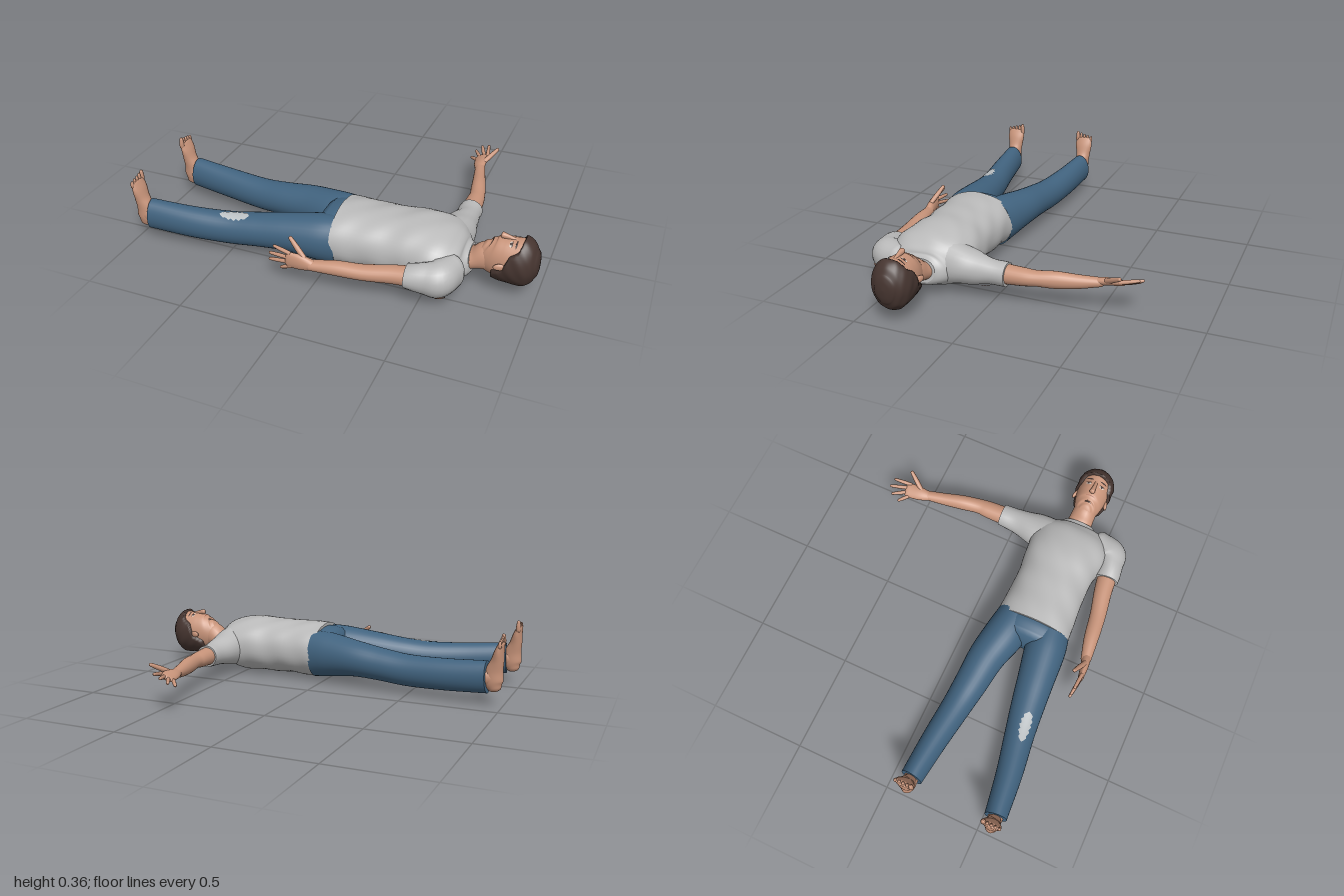
import * as THREE from 'three';

const V = (x, y, z) => new THREE.Vector3(x, y, z);
const UP = V(0, 1, 0), FORE = V(1, 0, 0);
const mat = (name, color) => Object.assign(new THREE.MeshStandardMaterial({ color }), { name });

// Surface through sections [x, y, z, half width, half height]; returns a point for t, angle, offset
function surface(sections, up = UP, e = 1) {
  const path = new THREE.CatmullRomCurve3(sections.map(s => V(s[0], s[1], s[2])), false, 'catmullrom', 0.5);
  const radii = new THREE.CatmullRomCurve3(sections.map(s => V(s[3], s[4], 0)), false, 'catmullrom', 0.5);
  const pw = v => Math.sign(v) * Math.abs(v) ** e;
  return (t, angle, off = 0, scale = 1, push = 0) => {
    const c = path.getPoint(t), r = radii.getPoint(t), dir = path.getTangent(t);
    const u = up.clone().cross(dir).normalize(), v = dir.clone().cross(u);
    return c.addScaledVector(u, (r.x + off) * scale * pw(Math.cos(angle)))
      .addScaledVector(v, (r.y + off) * scale * pw(Math.sin(angle)))
      .addScaledVector(dir, push);
  };
}

function toGeometry(pos, index) {
  const g = new THREE.BufferGeometry();
  g.setAttribute('position', new THREE.Float32BufferAttribute(pos, 3));
  g.setIndex(index);
  g.computeVertexNormals();
  return g;
}

// Closed skin over the sections, with flat (0) or domed ends
function loft(sections, { up, e, domes = [0, 0], seg = 24, steps = 6, offset = () => 0 } = {}) {
  const f = surface(sections, up, e), rows = [], pos = [], index = [];
  const n = (sections.length - 1) * steps;
  const cap = (t, dome, sign) => (dome ? [30, 60, 90] : [0, 90]).map(d => {
    const a = d * Math.PI / 180;
    return [t, Math.cos(a), sign * dome * Math.sin(a)];
  });
  rows.push(...cap(0, domes[0], -1).reverse());
  for (let i = 0; i <= n; i++) rows.push([i / n, 1, 0]);
  rows.push(...cap(1, domes[1], 1));
  rows.forEach(([t, scale, push], i) => {
    for (let j = 0; j < seg; j++) {
      const a = j / seg * Math.PI * 2;
      pos.push(...f(t, a, offset(f(t, a)), scale, push).toArray());
      if (i === rows.length - 1) continue;
      const p = i * seg + j, q = i * seg + (j + 1) % seg;
      index.push(p, q, p + seg, q, q + seg, p + seg);
    }
  });
  return toGeometry(pos, index);
}

// Thin oval detail lying on a lofted surface
function patch(f, t, dt, angle, da, { off = 0.003, ragged = 0 } = {}) {
  const pos = [], index = [], n = 16, m = 8;
  for (let i = 0; i <= n; i++) {
    const s = i / n * 2 - 1;
    const w = da * Math.sqrt(1 - s * s) * (1 - ragged * (0.5 + 0.5 * Math.sin(i * 2.1)));
    for (let j = 0; j <= m; j++) {
      pos.push(...f(t + s * dt, angle + (j / m * 2 - 1) * w, off).toArray());
      if (i === n || j === m) continue;
      const p = i * (m + 1) + j, q = p + m + 1;
      index.push(p, p + 1, q, p + 1, q + 1, q);
    }
  }
  return toGeometry(pos, index);
}

export function createModel() {
  const model = new THREE.Group();
  model.name = 'lyingMan';
  const skin = mat('skin', 0xc8947a), shirt = mat('shirtGrey', 0xbababa), denim = mat('denim', 0x41637f);
  const hairMat = mat('darkBrownHair', 0x463530), lining = mat('tornDenim', 0xbcc1c4);
  const lip = mat('lip', 0xa96f5c), white = mat('eyeWhite', 0xd9d2ca), rip = mat('shirtStain', 0xb27d64);
  rip.side = lining.side = THREE.DoubleSide;
  const add = (name, geometry, material) => {
    const mesh = new THREE.Mesh(geometry, material);
    mesh.name = name;
    model.add(mesh);
    return mesh;
  };
  const digit = (name, a, b, r, up = UP) => {
    const mid = a.map((v, i) => (v + b[i]) / 2);
    add(name, loft([[...a, r, r], [...mid, r, r], [...b, r * 0.75, r * 0.75]],
      { up, domes: [r, r * 0.8], seg: 10, steps: 3 }), skin);
  };

  // Shirt body and sleeves, with soft folds
  const folds = p => 0.003 * Math.sin(p.x * 38 + p.z * 24) * Math.sin(p.z * 17 + p.y * 20);
  add('shirtBody', loft([
    [0.04, 0.163, 0.335, 0.2, 0.15], [0.15, 0.168, 0.335, 0.193, 0.146], [0.3, 0.168, 0.333, 0.187, 0.146],
    [0.42, 0.169, 0.33, 0.197, 0.15], [0.52, 0.168, 0.334, 0.21, 0.143], [0.6, 0.158, 0.335, 0.19, 0.118],
    [0.65, 0.153, 0.333, 0.135, 0.085], [0.685, 0.158, 0.332, 0.08, 0.06],
  ], { e: 0.92, seg: 48, offset: folds }), shirt);
  const leftSleeve = [[0.55, 0.165, 0.27, 0.1, 0.125], [0.56, 0.16, 0.13, 0.09, 0.09],
    [0.565, 0.157, 0.02, 0.064, 0.065], [0.565, 0.157, -0.07, 0.06, 0.057]];
  const rightSleeve = [[0.63, 0.155, 0.46, 0.065, 0.085], [0.59, 0.157, 0.55, 0.08, 0.09],
    [0.53, 0.16, 0.577, 0.068, 0.074], [0.445, 0.16, 0.583, 0.063, 0.056]];
  add('leftSleeve', loft(leftSleeve, { offset: folds }), shirt);
  add('rightSleeve', loft(rightSleeve, { domes: [0.03, 0], offset: folds }), shirt);
  add('leftSleeveStain', patch(surface(leftSleeve), 0.66, 0.08, Math.PI + 1, 0.2, { off: 0.006, ragged: 0.5 }), rip);
  add('rightSleeveStain', patch(surface(rightSleeve), 0.4, 0.06, -0.65, 0.15, { off: 0.006, ragged: 0.5 }), rip);

  // Arms
  add('leftArm', loft([
    [0.565, 0.157, -0.03, 0.05, 0.05], [0.562, 0.158, -0.15, 0.046, 0.043], [0.558, 0.16, -0.21, 0.04, 0.038],
    [0.54, 0.16, -0.3, 0.038, 0.042], [0.517, 0.16, -0.4, 0.032, 0.034], [0.494, 0.166, -0.5, 0.026, 0.022],
  ], { domes: [0, 0.02] }), skin);
  add('rightArm', loft([
    [0.48, 0.16, 0.583, 0.052, 0.047], [0.38, 0.155, 0.595, 0.047, 0.043], [0.25, 0.147, 0.62, 0.042, 0.037],
    [0.12, 0.147, 0.636, 0.038, 0.035], [0.0, 0.143, 0.655, 0.027, 0.025],
  ], { domes: [0, 0.02] }), skin);

  // Hands with spread fingers
  add('leftPalm', loft([[0.494, 0.167, -0.48, 0.025, 0.02], [0.486, 0.172, -0.53, 0.036, 0.019],
    [0.478, 0.173, -0.6, 0.04, 0.014]], { up: V(-0.45, 1, 0), domes: [0.01, 0.015] }), skin);
  [[[0.508, 0.188, -0.595], [0.494, 0.205, -0.678]], [[0.487, 0.178, -0.605], [0.455, 0.19, -0.688]],
    [[0.466, 0.168, -0.6], [0.426, 0.166, -0.668]], [[0.449, 0.159, -0.585], [0.412, 0.145, -0.625]],
    [[0.505, 0.183, -0.53], [0.558, 0.23, -0.608]],
  ].forEach(([a, b], i) => digit(i < 4 ? 'leftFinger' : 'leftThumb', a, b, i < 4 ? 0.01 : 0.013));
  add('rightPalm', loft([[0.02, 0.143, 0.653, 0.024, 0.024], [-0.04, 0.152, 0.662, 0.021, 0.04],
    [-0.105, 0.158, 0.668, 0.014, 0.042]], { domes: [0.01, 0.015] }), skin);
  [[[-0.1, 0.193, 0.667], [-0.178, 0.209, 0.66]], [[-0.108, 0.168, 0.668], [-0.203, 0.164, 0.657]],
    [[-0.108, 0.145, 0.669], [-0.207, 0.127, 0.655]], [[-0.09, 0.125, 0.668], [-0.145, 0.1, 0.662]],
    [[-0.03, 0.18, 0.658], [-0.11, 0.248, 0.625]],
  ].forEach(([a, b], i) => digit(i < 4 ? 'rightFinger' : 'rightThumb', a, b, i < 4 ? 0.01 : 0.013));

  // Jeans: [x, y, left z, right z, half width, half height]
  add('hips', loft([[0.07, 0.163, 0.335, 0.185, 0.13], [0.02, 0.163, 0.335, 0.195, 0.132],
    [-0.03, 0.163, 0.335, 0.19, 0.122]], { e: 0.92, domes: [0, 0.045], seg: 36 }), denim);
  const legRows = [[0.05, 0.16, 0.235, 0.433, 0.1, 0.127], [-0.05, 0.163, 0.222, 0.445, 0.106, 0.118],
    [-0.2, 0.163, 0.188, 0.463, 0.095, 0.096], [-0.35, 0.15, 0.172, 0.481, 0.085, 0.086],
    [-0.5, 0.138, 0.154, 0.502, 0.075, 0.083], [-0.7, 0.143, 0.129, 0.535, 0.066, 0.082],
    [-0.92, 0.157, 0.108, 0.56, 0.056, 0.082]];
  ['left', 'right'].forEach((side, k) => {
    const rows = legRows.map(r => [r[0], r[1], r[2 + k], r[4], r[5]]);
    add(side + 'TrouserLeg', loft(rows, { seg: 32 }), denim);
    if (k) add('kneeTear', patch(surface(rows), 0.627, 0.085, 1.35, 0.42, { ragged: 0.35 }), lining);

    // Bare feet, toes pointing up and big toes innermost
    const z = k ? 0.56 : 0.108, inner = k ? -1 : 1;
    add(side + 'Ankle', loft([[-0.88, 0.16, z, 0.04, 0.045], [-0.95, 0.155, z, 0.036, 0.045]], { domes: [0, 0.02] }), skin);
    add(side + 'Foot', loft([
      [-0.957, 0.105, z, 0.028, 0.035], [-0.95, 0.14, z, 0.036, 0.05], [-0.953, 0.19, z, 0.037, 0.044],
      [-0.965, 0.24, z, 0.042, 0.033], [-0.973, 0.29, z, 0.05, 0.024], [-0.982, 0.33, z + inner * 0.002, 0.048, 0.014],
    ], { up: FORE, domes: [0.02, 0.01] }), skin);
    for (let i = 0; i < 5; i++) {
      const tz = z + inner * (0.04 - i * 0.0205), r = i ? 0.009 : 0.0125;
      digit(side + 'Toe', [-0.982, 0.32, tz], [-0.982, 0.362 - i * 0.005, tz], r, FORE);
    }
  });

  // Neck and head
  add('neck', loft([[0.64, 0.145, 0.332, 0.075, 0.05], [0.7, 0.165, 0.332, 0.066, 0.052],
    [0.75, 0.185, 0.333, 0.063, 0.07], [0.8, 0.19, 0.333, 0.06, 0.07]]), skin);
  const headRows = [[0.728, 0.232, 0.333, 0.034, 0.05], [0.745, 0.22, 0.333, 0.052, 0.078],
    [0.78, 0.206, 0.333, 0.07, 0.097], [0.83, 0.2, 0.333, 0.081, 0.107], [0.88, 0.2, 0.333, 0.085, 0.11],
    [0.93, 0.2, 0.333, 0.083, 0.112], [0.965, 0.2, 0.333, 0.067, 0.09], [0.985, 0.2, 0.333, 0.042, 0.058]];
  const face = surface(headRows);
  add('head', loft(headRows, { domes: [0.008, 0.006], seg: 40 }), skin);

  // Hair rises above the scalp behind the hairline and sinks below it in front
  const line = [[0.77, 0.04], [0.79, 0.16], [0.845, 0.19], [0.87, 0.255], [0.91, 0.28], [0.94, 0.37], [1.1, 0.6]];
  const limit = x => {
    const i = line.findIndex(p => p[0] > x);
    if (i < 1) return 0;
    const [x0, y0] = line[i - 1], [x1, y1] = line[i];
    return y0 + (y1 - y0) * (x - x0) / (x1 - x0);
  };
  add('hair', loft(headRows, {
    domes: [0, 0.015], seg: 64, steps: 10,
    offset: p => -0.012 + 0.025 * THREE.MathUtils.smoothstep(limit(p.x) - p.y, -0.01, 0.01)
      + 0.0015 * Math.sin(p.x * 90 + p.y * 60) * Math.sin(p.z * 110),
  }), hairMat);

  // Face
  add('nose', loft([[0.885, 0.302, 0.333, 0.009, 0.009], [0.85, 0.311, 0.333, 0.01, 0.012],
    [0.818, 0.317, 0.333, 0.015, 0.015]], { domes: [0.01, 0.008], seg: 16 }), skin);
  for (const s of [-1, 1]) {
    const a = Math.PI / 2 + s * 0.44;
    add('eye', patch(face, 0.535, 0.016, a, 0.17, { off: 0.002 }), white);
    add('iris', patch(face, 0.535, 0.015, a, 0.07, { off: 0.0035 }), hairMat);
    add('upperLid', patch(face, 0.553, 0.007, a, 0.19, { off: 0.004 }), hairMat);
    add('eyebrow', patch(face, 0.605, 0.011, a, 0.23, { off: 0.004 }), hairMat);
    const ear = add('ear', new THREE.SphereGeometry(1, 16, 12), skin);
    ear.scale.set(0.03, 0.017, 0.01);
    ear.position.set(0.832, 0.196, 0.333 + s * 0.086);
    ear.rotation.y = s * 0.3;
  }
  add('mouth', patch(face, 0.25, 0.02, Math.PI / 2, 0.38), lip);
  return model;
}
